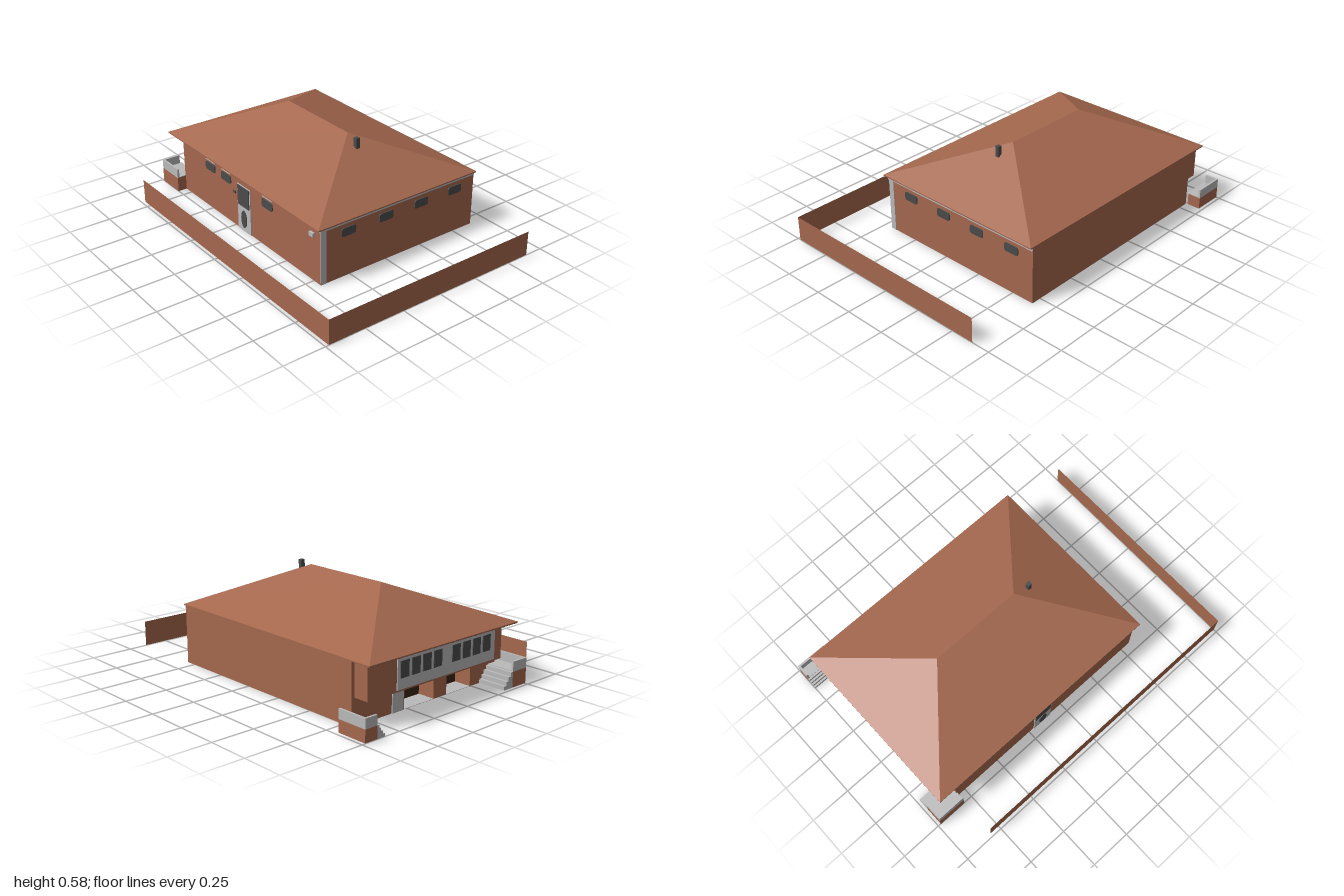
import * as THREE from 'three';

const mat = (name, color) => {
  const m = new THREE.MeshStandardMaterial({ color, side: THREE.DoubleSide });
  m.name = name;
  return m;
};

export function createModel() {
  const root = new THREE.Group();
  root.name = 'house';
  const brick = mat('brick', 0xa5684e);
  const pale = mat('paleGrey', 0xbababa);
  const dark = mat('darkGrey', 0x4b4b4b);
  const shade = mat('darkInterior', 0x3a2414);

  const add = (name, geo, m, parent = root) => {
    const mesh = new THREE.Mesh(geo, m);
    mesh.name = name;
    parent.add(mesh);
    return mesh;
  };
  // box given by its limits on each axis
  const box = (name, m, x0, x1, y0, y1, z0, z1, parent) => {
    const b = add(name, new THREE.BoxGeometry(x1 - x0, y1 - y0, z1 - z0), m, parent);
    b.position.set((x0 + x1) / 2, (y0 + y1) / 2, (z0 + z1) / 2);
    return b;
  };
  // thin window plate with rounded corners, facing +z
  const pane = (w, h, r) => {
    const s = new THREE.Shape(), a = w / 2, b = h / 2;
    s.moveTo(-a + r, -b);
    s.lineTo(a - r, -b); s.quadraticCurveTo(a, -b, a, -b + r);
    s.lineTo(a, b - r); s.quadraticCurveTo(a, b, a - r, b);
    s.lineTo(-a + r, b); s.quadraticCurveTo(-a, b, -a, b - r);
    s.lineTo(-a, -b + r); s.quadraticCurveTo(-a, -b, -a + r, -b);
    return new THREE.ExtrudeGeometry(s, { depth: 0.006, bevelEnabled: false, curveSegments: 4 });
  };

  // main walls, with garage bays recessed on the -x side
  box('mainWalls', brick, -0.7, 0.56, 0, 0.338, -0.64, 0.445);
  for (const [z0, z1] of [[-0.64, -0.27], [-0.05, 0.05], [0.24, 0.445]])
    box('garagePier', brick, -0.81, -0.7, 0, 0.16, z0, z1);
  for (const [z0, z1] of [[-0.27, -0.05], [0.05, 0.24]])
    box('garageDoor', shade, -0.706, -0.7, 0, 0.15, z0, z1);
  box('garagePost', pale, -0.816, -0.81, 0, 0.15, -0.36, -0.28);
  box('upperWall', brick, -0.81, -0.7, 0.15, 0.338, -0.64, 0.445);
  box('floorSlab', pale, -0.81, 0.56, -0.001, 0.001, -0.64, 0.445);
  box('cornerStrip', pale, 0.56, 0.563, 0, 0.338, 0.41, 0.445);

  // overhanging gallery with a row of windows
  box('gallery', brick, -0.9, -0.81, 0.15, 0.338, -0.62, 0.38);
  box('galleryPanel', pale, -0.905, -0.9, 0.16, 0.33, -0.42, 0.32);
  for (const start of [-0.4, -0.02])
    for (let i = 0; i < 4; i++) {
      const z = start + i * 0.08;
      box('galleryWindow', dark, -0.909, -0.905, 0.22, 0.31, z, z + 0.06);
    }

  // pale band below the eaves
  box('frontBand', pale, -0.81, 0.565, 0.318, 0.338, 0.445, 0.45);
  box('sideBand', pale, 0.56, 0.565, 0.32, 0.338, -0.64, 0.445);

  // windows on the front and on the +x side
  for (const x of [-0.5, -0.333, 0.08]) {
    add('frontWindow', pane(0.1, 0.05, 0.014), dark).position.set(x, 0.273, 0.445);
    box('windowHead', pale, x - 0.045, x + 0.045, 0.308, 0.314, 0.445, 0.449);
  }
  for (const z of [0.263, 0.007, -0.243, -0.493]) {
    const w = add('sideWindow', pane(0.095, 0.05, 0.014), dark);
    w.rotation.y = Math.PI / 2;
    w.position.set(0.56, 0.27, z);
  }

  // front door with a window above
  box('doorPanel', pale, -0.215, -0.087, 0, 0.288, 0.445, 0.45);
  box('doorUpperWindow', dark, -0.208, -0.096, 0.16, 0.284, 0.45, 0.454);
  const oval = add('doorOval', new THREE.CylinderGeometry(0.5, 0.5, 0.004, 20), dark);
  oval.rotation.x = Math.PI / 2;
  oval.scale.set(0.055, 1, 0.11);
  oval.position.set(-0.151, 0.08, 0.452);
  box('wallLamp', pale, 0.475, 0.51, 0.272, 0.295, 0.445, 0.46);
  box('letterBox', dark, -0.26, -0.235, 0.212, 0.224, 0.445, 0.452);

  // hipped roof on a thin eaves edge
  const [x0, x1, z0, z1, e, t] = [-0.935, 0.577, -0.642, 0.472, 0.345, 0.57];
  box('eavesEdge', brick, x0, x1, 0.338, e, z0, z1);
  box('soffit', dark, x0 + 0.003, x1 - 0.003, 0.336, 0.338, z0 + 0.003, z1 - 0.003);
  const A = [x0, e, z1], B = [x1, e, z1], C = [x1, e, z0], D = [x0, e, z0];
  const P = [-0.45, t, -0.085], Q = [0.11, t, -0.085];
  const tris = [A, B, Q, A, Q, P, B, C, Q, C, D, P, C, P, Q, D, A, P];
  const roof = new THREE.BufferGeometry();
  roof.setAttribute('position', new THREE.Float32BufferAttribute(tris.flat(), 3));
  roof.computeVertexNormals();
  add('roof', roof, brick);
  box('chimney', dark, 0.197, 0.222, 0.46, 0.58, -0.082, -0.058);

  // porches with parapets; dir points from the steps to the landing
  const porch = (name, px0, px1, zStep, zMid, zEnd, h, top) => {
    const g = new THREE.Group();
    g.name = name;
    root.add(g);
    const lim = (a, b) => [Math.min(a, b), Math.max(a, b)];
    const dir = Math.sign(zEnd - zStep);
    box('landing', brick, px0, px1, 0, h, ...lim(zMid, zEnd), g);
    box('landingFloor', pale, px0, px1, h, h + 0.004, ...lim(zMid, zEnd), g);
    box('endParapet', pale, px0, px1, h, top, ...lim(zEnd, zEnd - dir * 0.012), g);
    box('sideParapet', pale, px0, px0 + 0.012, h, top, ...lim(zMid, zEnd), g);
    const n = 4;
    for (let i = 0; i < n; i++) {
      const z = zStep + (zMid - zStep) * i / n;
      box('step', pale, px0, px1, 0, h * (i + 1) / n, ...lim(z, zMid), g);
    }
  };
  porch('frontPorch', -0.982, -0.805, 0.32, 0.39, 0.502, 0.09, 0.147);
  porch('backPorch', -1, -0.815, -0.6, -0.65, -0.73, 0.07, 0.125);

  // boundary wall along the front and the +x side
  const fence = (name, len, x, z, ry) => {
    const f = add(name, new THREE.PlaneGeometry(len, 0.148), brick);
    f.position.set(x, 0.074, z);
    f.rotation.y = ry;
  };
  fence('frontFence', 1.81, 0.095, 0.73, 0);
  fence('sideFence', 1.37, 1, 0.045, Math.PI / 2);
  return root;
}
